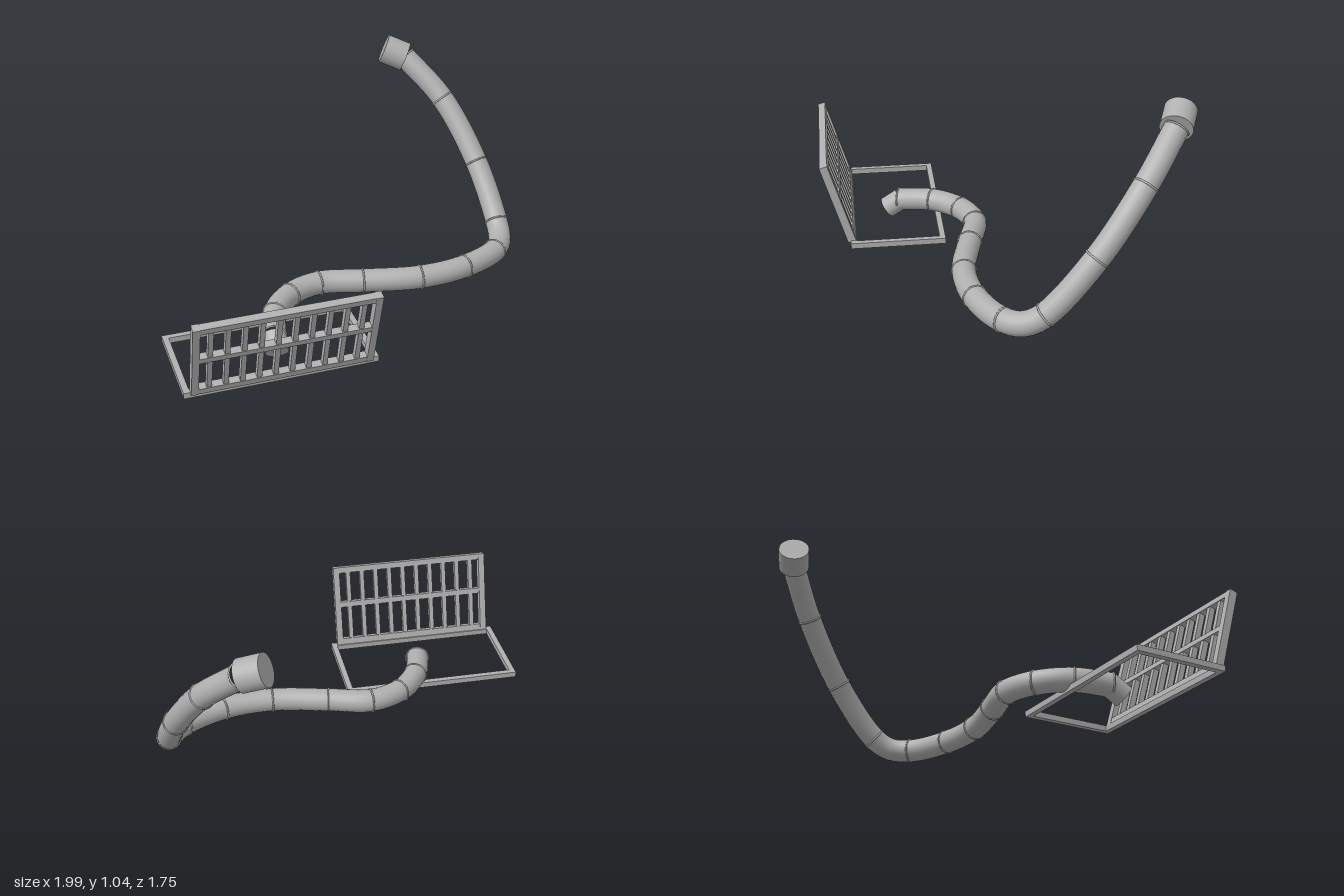
import * as THREE from 'three';

const grey = new THREE.MeshStandardMaterial({ color: 0xb0b0b0 });
grey.name = 'grey';

const v = (x, y, z) => new THREE.Vector3(x, y, z);

function add(parent, name, geometry) {
  const mesh = new THREE.Mesh(geometry, grey);
  mesh.name = name;
  parent.add(mesh);
  return mesh;
}

function bar(parent, name, w, h, d, x, y, z) {
  add(parent, name, new THREE.BoxGeometry(w, h, d)).position.set(x, y, z);
}

// Capped cylinder running from a to b
function rod(parent, name, a, b, r, sides = 24) {
  const dir = b.clone().sub(a);
  const mesh = add(parent, name, new THREE.CylinderGeometry(r, r, dir.length(), sides));
  mesh.position.copy(a).add(b).multiplyScalar(0.5);
  mesh.quaternion.setFromUnitVectors(v(0, 1, 0), dir.normalize());
}

export function createModel() {
  const model = new THREE.Group();
  model.name = 'hoseAndGrate';

  // Hose: each point below except the corner helper carries a joint ring
  const points = [
    v(-0.495, 0.098, 0.455), v(-0.44, 0.11, 0.28), v(-0.32, 0.11, 0.14), v(-0.15, 0.11, 0.08),
    v(0.07, 0.11, 0.13), v(0.36, 0.11, 0.19), v(0.62, 0.11, 0.165), v(0.84, 0.11, 0.06),
    v(0.905, 0.122, -0.03), v(0.925, 0.175, -0.12), v(0.895, 0.43, -0.355), v(0.78, 0.725, -0.59),
    v(0.62, 0.925, -0.76),
  ];
  const cornerHelper = 8;
  const path = new THREE.CatmullRomCurve3(points, false, 'centripetal');
  const hose = new THREE.Group();
  hose.name = 'hose';
  model.add(hose);
  add(hose, 'hosePipe', new THREE.TubeGeometry(path, 96, 0.06, 20));

  points.forEach((p, i) => {
    if (i === cornerHelper) return;
    const ring = add(hose, 'jointRing', new THREE.TorusGeometry(0.06, 0.005, 6, 28));
    ring.position.copy(p);
    ring.quaternion.setFromUnitVectors(v(0, 0, 1), path.getTangent(i / (points.length - 1)));
  });

  // Dipping nozzle and wide end cap
  rod(hose, 'nozzle', v(-0.49, 0.105, 0.44), v(-0.5, 0.049, 0.52), 0.058);
  rod(hose, 'endCap', v(0.62, 0.925, -0.76), v(0.513, 0.971, -0.806), 0.079);

  // Flat rectangular frame on the ground
  const frame = new THREE.Group();
  frame.name = 'baseFrame';
  model.add(frame);
  for (const x of [-0.985, -0.075]) bar(frame, 'frameSide', 0.03, 0.03, 0.49, x, 0.055, 0.485);
  for (const z of [0.255, 0.715]) bar(frame, 'frameCross', 0.88, 0.03, 0.03, -0.53, 0.055, z);

  // Grate leaning forward, built upright from its lower edge
  const grate = new THREE.Group();
  grate.name = 'grate';
  grate.position.set(-0.53, 0.065, 0.723);
  grate.rotation.x = 0.292;
  model.add(grate);
  for (const s of [-1, 1]) bar(grate, 'grateSide', 0.034, 0.446, 0.042, s * 0.42, 0.223, 0);
  for (const [y, h] of [[0.017, 0.034], [0.232, 0.03], [0.43, 0.032]]) {
    bar(grate, 'grateRail', 0.81, h, 0.038, 0, y, 0);
  }
  for (let i = 0; i < 10; i++) {
    bar(grate, 'grateBar', 0.024, 0.42, 0.03, (i - 4.5) * 0.0785, 0.223, 0);
  }
  return model;
}
